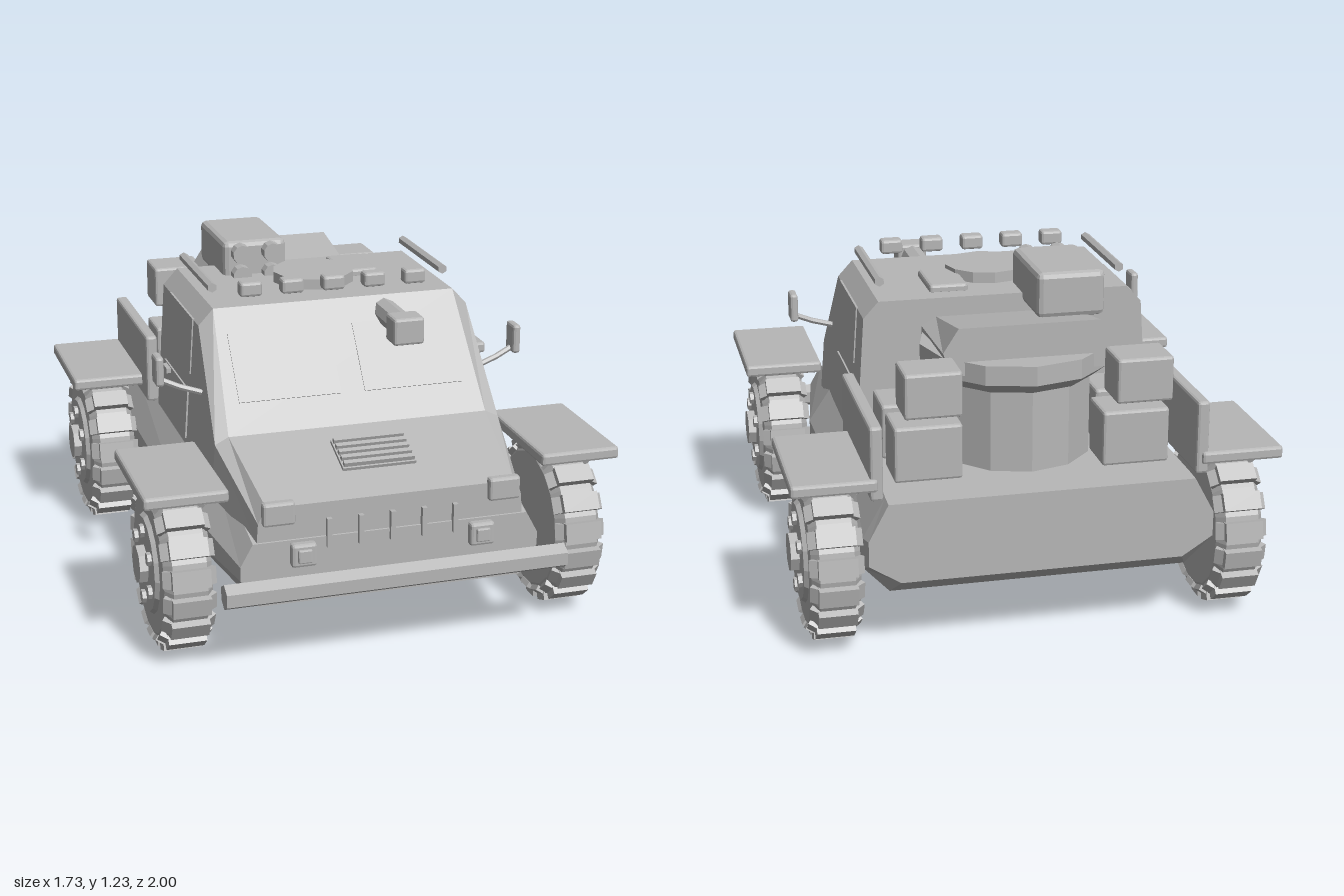
import * as THREE from 'three';
import { RoundedBoxGeometry } from 'three/addons/geometries/RoundedBoxGeometry.js';

const paint = new THREE.MeshStandardMaterial({ color: 0xb6b6b6 });
paint.name = 'grey paint';

// Adds a faceted mesh to a parent
function add(parent, name, geometry, x = 0, y = 0, z = 0) {
  const g = geometry.index ? geometry.toNonIndexed() : geometry;
  g.computeVertexNormals();
  const mesh = new THREE.Mesh(g, paint);
  mesh.name = name;
  mesh.position.set(x, y, z);
  parent.add(mesh);
  return mesh;
}
const box = (w, h, d, r = 0.01) => new RoundedBoxGeometry(w, h, d, 1, r);
const plate = (w, h, d) => new THREE.BoxGeometry(w, h, d);
const rodX = (r, len, n, r2 = r) => new THREE.CylinderGeometry(r2, r, len, n).rotateZ(-Math.PI / 2);
const rodZ = (r, len, n) => new THREE.CylinderGeometry(r, r, len, n).rotateX(Math.PI / 2);

// Skin over mirrored cross-sections, ordered back to front: [z, [x, y] from bottom to top]
function loft(sections) {
  const rings = sections.map(([z, half]) => [
    ...half.map(([x, y]) => [x, y, z]),
    ...half.slice().reverse().map(([x, y]) => [-x, y, z]),
  ]);
  const n = rings[0].length, last = rings.length - 1, pos = [];
  const tri = (a, b, c) => pos.push(...a, ...b, ...c);
  for (let i = 0; i < last; i++) {
    for (let j = 0; j < n; j++) {
      const k = (j + 1) % n;
      tri(rings[i][j], rings[i][k], rings[i + 1][k]);
      tri(rings[i][j], rings[i + 1][k], rings[i + 1][j]);
    }
  }
  for (let j = 1; j < n - 1; j++) {
    tri(rings[last][0], rings[last][j], rings[last][j + 1]);
    tri(rings[0][0], rings[0][j + 1], rings[0][j]);
  }
  const g = new THREE.BufferGeometry();
  g.setAttribute('position', new THREE.Float32BufferAttribute(pos, 3));
  return g;
}

// Wheel with its outer face towards +x
function makeWheel() {
  const wheel = new THREE.Group();
  wheel.name = 'wheel';
  const profile = [[0, -0.085], [0.25, -0.085], [0.29, -0.06], [0.29, 0.06], [0.25, 0.085], [0, 0.085]]
    .map(([r, x]) => new THREE.Vector2(r, x));
  add(wheel, 'tyre', new THREE.LatheGeometry(profile, 18).rotateZ(-Math.PI / 2));
  add(wheel, 'rim', rodX(0.185, 0.02, 16, 0.17), 0.09);
  add(wheel, 'hub', rodX(0.07, 0.05, 8), 0.105);
  for (let i = 0; i < 6; i++) {
    const a = (i + 0.5) * Math.PI / 3;
    add(wheel, 'wheelBolt', rodX(0.024, 0.02, 6), 0.105, 0.125 * Math.sin(a), 0.125 * Math.cos(a));
  }
  for (let i = 0; i < 18; i++) {
    const a = i * Math.PI / 9;
    const block = add(wheel, 'treadBlock', plate(0.135, 0.035, 0.065), 0, 0.294 * Math.cos(a), 0.294 * Math.sin(a));
    block.rotation.x = a;
    for (const s of [-1, 1]) {
      const lug = add(wheel, 'shoulderLug', plate(0.05, 0.02, 0.06), s * 0.068, 0.276 * Math.cos(a), 0.276 * Math.sin(a));
      lug.rotation.set(a, 0, -s * 0.6);
    }
  }
  return wheel;
}

export function createModel() {
  const model = new THREE.Group();
  model.name = 'armouredCar';

  // Lower hull
  add(model, 'hull', loft([
    [-0.965, [[0.5, 0.28], [0.61, 0.35], [0.61, 0.44], [0.54, 0.57]]],
    [-0.9, [[0.53, 0.225], [0.62, 0.32], [0.62, 0.43], [0.54, 0.572]]],
    [0.3, [[0.53, 0.225], [0.63, 0.32], [0.63, 0.43], [0.51, 0.61]]],
    [0.885, [[0.48, 0.225], [0.545, 0.33], [0.545, 0.38], [0.5, 0.46]]],
  ]));

  // Cabin with sloped windscreen and bonnet
  add(model, 'cabin', loft([
    [-0.365, [[0.55, 0.54], [0.515, 0.97 + 0.07], [0.46, 1.1]]],
    [0.21, [[0.55, 0.54], [0.515, 1.04], [0.46, 1.1]]],
    [0.51, [[0.55, 0.5], [0.535, 0.69], [0.485, 0.715]]],
    [0.88, [[0.485, 0.46], [0.48, 0.53], [0.45, 0.585]]],
  ]));

  // Windscreen panes
  const slope = Math.atan2(0.3, 0.385);
  for (const s of [-1, 1]) {
    const pane = add(model, 'windscreenPane', plate(0.38, 0.265, 0.008), s * 0.235, 0.915, 0.354);
    pane.rotation.x = -slope;
  }

  // Bonnet vent
  const vent = new THREE.Group();
  vent.name = 'bonnetVent';
  vent.position.set(0, 0.666, 0.67);
  vent.rotation.x = Math.atan2(0.13, 0.37);
  add(vent, 'ventBase', plate(0.27, 0.012, 0.16));
  for (let i = 0; i < 5; i++) add(vent, 'ventSlat', plate(0.26, 0.02, 0.018), 0, 0.012, -0.064 + i * 0.032);
  model.add(vent);

  // Front bumper and grille bars
  add(model, 'bumper', rodX(0.046, 1.24, 6).rotateX(Math.PI / 2), 0, 0.31, 0.953);
  for (let i = -2; i <= 2; i++) add(model, 'grilleBar', plate(0.018, 0.105, 0.02), i * 0.115, 0.475, 0.89);

  // Parts found on both sides
  for (const s of [-1, 1]) {
    for (const z of [0.6, -0.69]) {
      const wheel = makeWheel();
      wheel.position.set(s * 0.718, 0.312, z);
      if (s < 0) wheel.rotation.y = Math.PI;
      model.add(wheel);
    }
    add(model, 'frontMudguard', box(0.295, 0.045, 0.505), s * 0.718, 0.632, 0.6);
    add(model, 'rearMudguard', box(0.295, 0.045, 0.505), s * 0.718, 0.632, -0.695);
    add(model, 'rearSidePanel', box(0.045, 0.265, 0.59), s * 0.573, 0.705, -0.64);
    add(model, 'sillRail', rodZ(0.03, 0.79, 6), s * 0.675, 0.31, -0.045);

    const sideWindow = add(model, 'sideWindow', plate(0.008, 0.21, 0.37), s * 0.523, 0.94, -0.05);
    const door = add(model, 'doorPanel', plate(0.012, 0.19, 0.385), s * 0.541, 0.675, -0.075);
    sideWindow.rotation.z = door.rotation.z = s * 0.07;
    add(model, 'doorHandle', plate(0.02, 0.018, 0.075), s * 0.548, 0.757, -0.19);

    // Wing mirror
    add(model, 'mirror', box(0.03, 0.11, 0.08), s * 0.683, 0.912, 0.28);
    add(model, 'mirrorArm', new THREE.TubeGeometry(new THREE.CatmullRomCurve3([
      new THREE.Vector3(s * 0.53, 0.82, 0.305),
      new THREE.Vector3(s * 0.61, 0.845, 0.293),
      new THREE.Vector3(s * 0.685, 0.878, 0.28),
    ]), 2, 0.011, 6));

    // Lamps
    add(model, 'headlamp', box(0.115, 0.085, 0.04), s * 0.41, 0.565, 0.885);
    add(model, 'lowerLamp', box(0.09, 0.085, 0.04), s * 0.325, 0.41, 0.9);
    add(model, 'lowerLampLens', box(0.05, 0.05, 0.015, 0.005), s * 0.325, 0.41, 0.922);

    add(model, 'roofRail', rodZ(0.018, 0.455, 6), s * 0.445, 1.158, -0.085);

    // Stowage boxes on the rear deck
    add(model, 'upperStowageBox', box(0.2, 0.16, 0.17), s * 0.37, 0.92, -0.818);
    add(model, 'rearStowageBox', box(0.24, 0.2, 0.18), s * 0.37, 0.68, -0.72);
    add(model, 'frontStowageBox', box(0.2, 0.2, 0.19), s * 0.39, 0.68, -0.475);
  }

  // Roof lamps
  for (let i = -2; i <= 2; i++) add(model, 'roofLamp', box(0.082, 0.054, 0.058), i * 0.157, 1.157, 0.18);

  // Roof hatches
  add(model, 'roundHatch', new THREE.CylinderGeometry(0.155, 0.155, 0.05, 12), 0, 1.115, -0.067);
  add(model, 'squareHatch', box(0.14, 0.035, 0.23), 0.187, 1.108, -0.175);

  // Forward gun
  add(model, 'gunBarrel', rodZ(0.046, 0.24, 8), 0.187, 1.043, 0.31);
  add(model, 'gunMuzzle', box(0.115, 0.1, 0.1), 0.187, 1.042, 0.46);

  // Rear turret
  const turret = new THREE.Group();
  turret.name = 'turret';
  add(turret, 'turretPedestal', new THREE.CylinderGeometry(0.28, 0.28, 0.34, 12), 0, 0.71, -0.51);
  add(turret, 'turretSkirt', new THREE.CylinderGeometry(0.34, 0.29, 0.04, 12), 0, 0.89, -0.51);
  add(turret, 'turretRing', new THREE.CylinderGeometry(0.34, 0.34, 0.07, 12), 0, 0.945, -0.51);
  add(turret, 'turretTop', loft([
    [-0.745, [[0.27, 0.93], [0.305, 1.015], [0.25, 1.1]]],
    [-0.36, [[0.305, 0.92], [0.305, 1.0], [0.25, 1.03]]],
  ]));
  model.add(turret);

  // Launcher with four tubes
  add(model, 'launcherBox', box(0.245, 0.165, 0.385, 0.02), -0.19, 1.147, -0.397);
  for (const x of [-0.25, -0.13]) {
    for (const y of [1.105, 1.188]) add(model, 'launcherTube', rodZ(0.037, 0.05, 10), x, y, -0.185);
  }
  return model;
}
